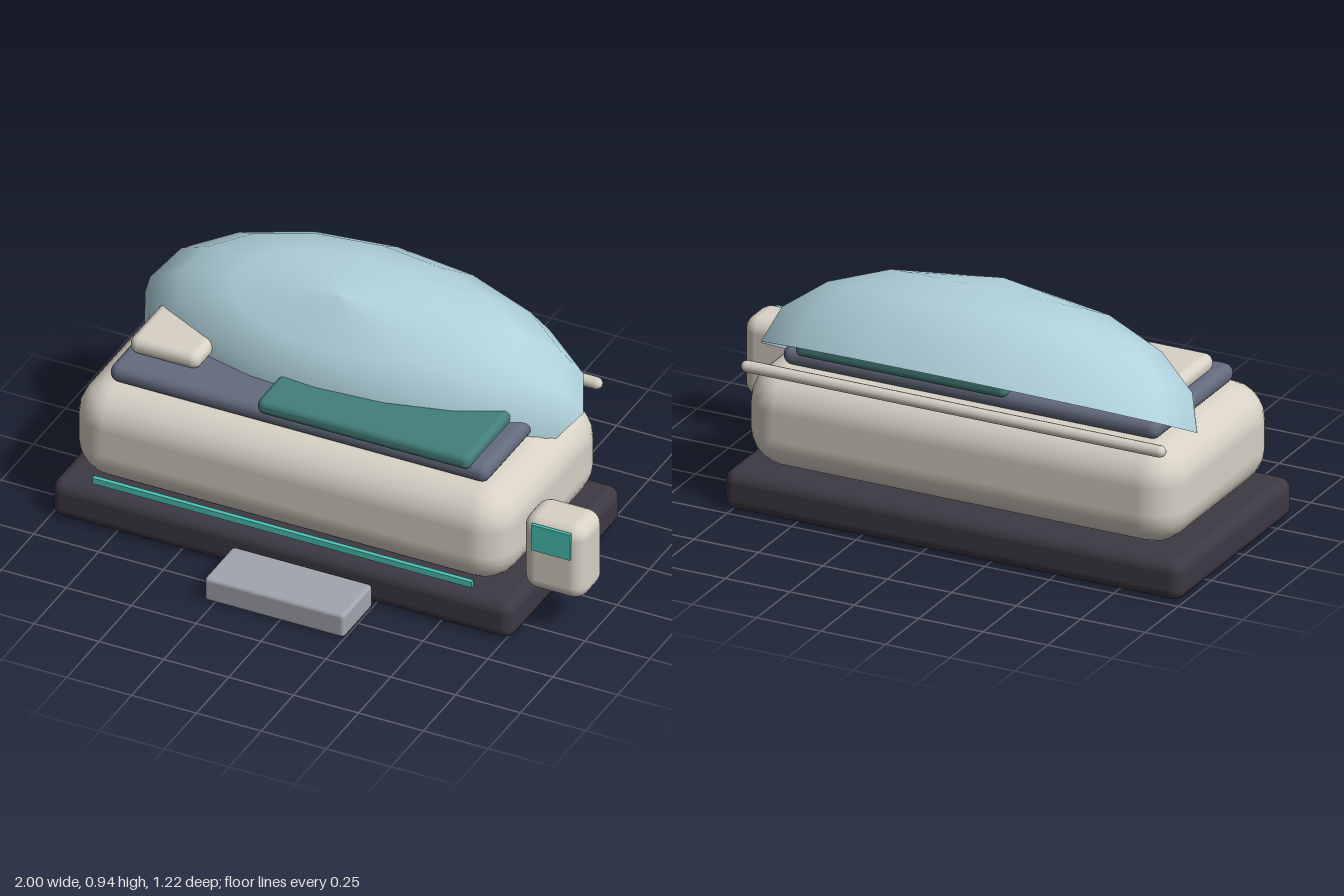
import * as THREE from 'three';
import { RoundedBoxGeometry } from 'three/addons/geometries/RoundedBoxGeometry.js';

const mat = (color) => new THREE.MeshStandardMaterial({ color });
const MATS = {
  dark: mat(0x3d3943), shell: mat(0xd8d2c6), slate: mat(0x646b7e),
  cloth: mat(0x447f7a), glow: mat(0x4cc4b4), metal: mat(0xa3a5ae), lid: mat(0xb0d2dc),
};
MATS.lid.side = THREE.DoubleSide;

// Box given by its extents on each axis; a radius of 0 keeps the edges sharp
function box(name, material, [x0, x1], [y0, y1], [z0, z1], radius = 0, segments = 3) {
  const size = [x1 - x0, y1 - y0, z1 - z0];
  const geometry = radius
    ? new RoundedBoxGeometry(...size, segments, radius)
    : new THREE.BoxGeometry(...size);
  const mesh = new THREE.Mesh(geometry, material);
  mesh.name = name;
  mesh.position.set((x0 + x1) / 2, (y0 + y1) / 2, (z0 + z1) / 2);
  return mesh;
}

// Half-ellipsoid cover, tipped forward so its front edge sinks into the bed
function makeLid() {
  const profile = [90, 70, 50, 30, 0].map((deg) => {
    const a = THREE.MathUtils.degToRad(deg);
    return new THREE.Vector2(Math.sin(a), Math.cos(a));
  });
  const geometry = new THREE.LatheGeometry(profile, 16);
  geometry.scale(0.845, 0.39, 0.385);
  const lid = new THREE.Mesh(geometry, MATS.lid);
  lid.name = 'lid';
  lid.position.set(-0.11, 0.555, -0.27);
  lid.rotation.x = 0.49;
  return lid;
}

export function createModel() {
  const model = new THREE.Group();
  model.name = 'bedPod';

  // Plinth, body and step
  model.add(
    box('base', MATS.dark, [-1, 0.78], [0, 0.15], [-0.485, 0.38], 0.045),
    box('body', MATS.shell, [-0.955, 0.735], [0.15, 0.53], [-0.455, 0.35], 0.14),
    box('step', MATS.metal, [-0.29, 0.25], [0, 0.095], [0.385, 0.61], 0.015, 2),
  );

  // Bedding
  model.add(
    box('mattress', MATS.slate, [-0.84, 0.62], [0.525, 0.597], [-0.35, 0.25], 0.034),
    box('pillow', MATS.shell, [-0.81, -0.54], [0.595, 0.665], [-0.255, 0.155], 0.033),
    box('blanket', MATS.cloth, [-0.26, 0.56], [0.577, 0.637], [-0.37, 0.268], 0.025),
  );

  // Control unit with its screen, and the light strip along the front
  model.add(
    box('controlUnit', MATS.shell, [0.76, 1], [0.155, 0.46], [0.09, 0.268], 0.055),
    box('screen', MATS.glow, [0.805, 0.955], [0.335, 0.44], [0.264, 0.277]),
    box('lightStrip', MATS.glow, [-0.84, 0.62], [0.177, 0.2], [0.35, 0.367]),
  );

  // Hinge rail behind the body
  const rail = new THREE.Mesh(new THREE.CapsuleGeometry(0.022, 1.6, 3, 10), MATS.shell);
  rail.name = 'hingeRail';
  rail.rotation.z = Math.PI / 2;
  rail.position.set(-0.11, 0.552, -0.463);
  model.add(rail, makeLid());

  return model;
}
